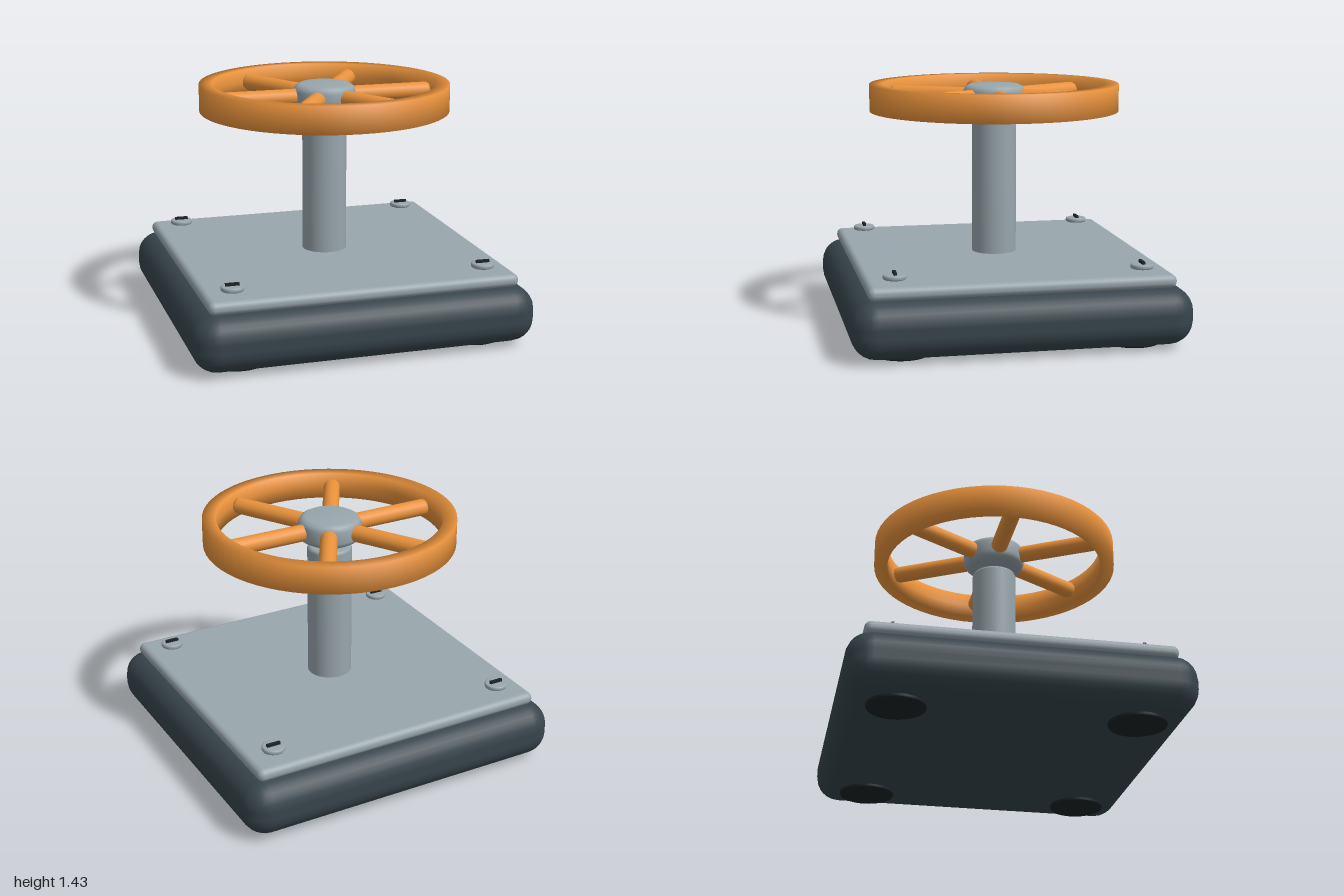
import * as THREE from 'three';
import { RoundedBoxGeometry } from 'three/addons/geometries/RoundedBoxGeometry.js';

const paint = (color) => new THREE.MeshStandardMaterial({ color });
const steel = paint(0x98a6ac);
const orange = paint(0xe8923c);
const casing = paint(0x37454c);
const rubber = paint(0x1c2225);

function add(parent, name, geometry, material, x = 0, y = 0, z = 0) {
  const mesh = new THREE.Mesh(geometry, material);
  mesh.name = name;
  mesh.position.set(x, y, z);
  parent.add(mesh);
  return mesh;
}

// Turned part from [radius, height] pairs, listed bottom to top on the outside
const turned = (points, sides = 32) =>
  new THREE.LatheGeometry(points.map(([r, y]) => new THREE.Vector2(r, y)), sides);

// Solid rod standing on y = 0 with softened ends
function rod(radius, height, bevel, sides = 32) {
  const b = bevel * 0.3;
  return turned([
    [0, 0], [radius - bevel, 0], [radius - b, b], [radius, bevel],
    [radius, height - bevel], [radius - b, height - b], [radius - bevel, height], [0, height],
  ], sides);
}

export function createModel() {
  const model = new THREE.Group();
  model.name = 'handwheelOnBase';

  // Base block and cover plate
  add(model, 'base', new RoundedBoxGeometry(2, 0.33, 1.93, 3, 0.14), casing, 0, 0.185, 0);
  add(model, 'coverPlate', new RoundedBoxGeometry(1.81, 0.075, 1.735, 3, 0.035), steel, 0, 0.3825, 0);

  // Feet and slotted screws at the four corners
  const foot = rod(0.165, 0.06, 0.01);
  const screwHead = rod(0.066, 0.028, 0.009, 24);
  const slot = new THREE.BoxGeometry(0.08, 0.02, 0.018);
  for (const sx of [-1, 1]) {
    for (const sz of [-1, 1]) {
      add(model, 'foot', foot, rubber, sx * 0.705, 0, sz * 0.665);
      const screw = new THREE.Group();
      screw.name = 'screw';
      screw.position.set(sx * 0.74, 0.433, sz * 0.705);
      add(screw, 'screwHead', screwHead, steel);
      add(screw, 'screwSlot', slot, rubber, 0, 0.033, 0);
      model.add(screw);
    }
  }

  // Column
  add(model, 'column', rod(0.132, 0.84, 0.02), steel, 0, 0.4, 0);

  // Wheel: tall rim, hub and six spokes
  const wheel = new THREE.Group();
  wheel.name = 'wheel';
  wheel.position.y = 1.35;
  add(wheel, 'rim', turned([
    [0.66, 0], [0.66, -0.08], [0.74, -0.08], [0.74, 0.08], [0.66, 0.08], [0.66, 0],
  ], 64), orange);
  add(wheel, 'hub', turned([
    [0, -0.075], [0.145, -0.075], [0.172, -0.06], [0.185, -0.035],
    [0.185, 0.035], [0.172, 0.06], [0.145, 0.075], [0, 0.078],
  ], 40), steel);
  const spoke = rod(0.05, 0.56, 0.025, 20).rotateZ(-Math.PI / 2).translate(0.1, 0, 0);
  for (let i = 0; i < 6; i++) {
    add(wheel, 'spoke', spoke, orange).rotation.y = (i * Math.PI) / 3;
  }
  model.add(wheel);

  return model;
}
